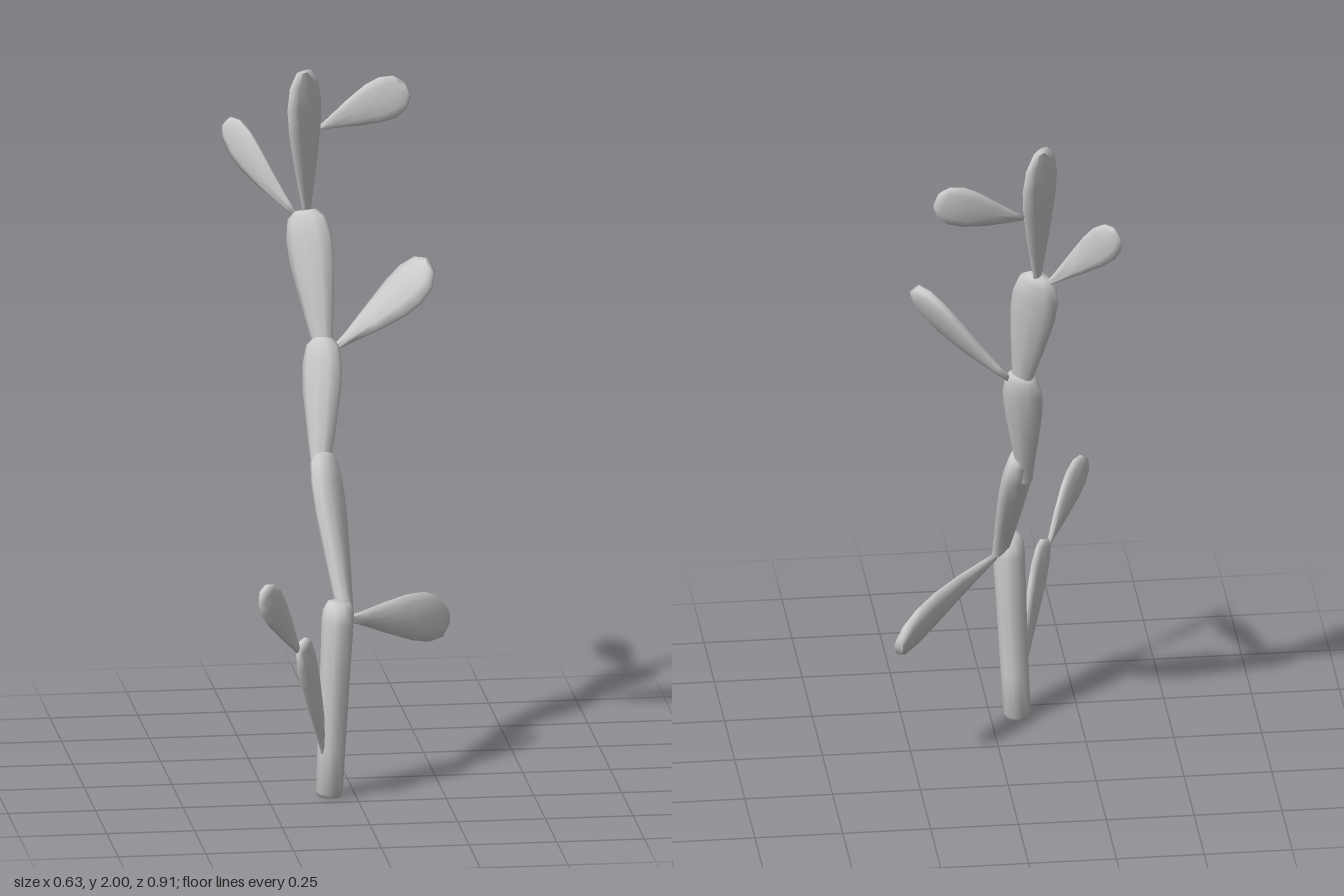
import * as THREE from 'three';
import { toCreasedNormals } from 'three/addons/utils/BufferGeometryUtils.js';

// Outlines as [relative half-width, position from base to tip]
const TRUNK = [[0, 0], [0.52, 0], [0.7, 0.025], [0.76, 0.25], [0.86, 0.6], [1, 0.9], [0.9, 0.96], [0.5, 1], [0, 1]];
const STEM = [[0, 0], [0.36, 0], [0.44, 0.12], [0.72, 0.38], [0.98, 0.66], [1, 0.82], [0.82, 0.95], [0.45, 1], [0, 1]];
const PAD = [[0, 0], [0.12, 0], [0.26, 0.12], [0.64, 0.38], [0.93, 0.62], [1, 0.78], [0.82, 0.92], [0.4, 1], [0, 1]];

const material = new THREE.MeshStandardMaterial({ color: 0xcccccc });

// A flattened paddle from base to tip, widest along `across`, bowed out of its plane by `bend`
function paddle(name, outline, base, tip, across, halfWidth, halfThick, bend = 0) {
  const geo = new THREE.LatheGeometry(outline.map(([r, t]) => new THREE.Vector2(r, t)), 10);

  // Thickness swells less than width does
  const p = geo.attributes.position;
  for (let i = 0; i < p.count; i++) {
    const t = p.getY(i);
    const r = Math.max(Math.hypot(p.getX(i), p.getZ(i)), 1e-4);
    p.setZ(i, p.getZ(i) / Math.sqrt(r) + (bend / halfThick) * 4 * t * (1 - t));
  }

  const a = new THREE.Vector3(...base);
  const axis = new THREE.Vector3(...tip).sub(a);
  const length = axis.length();
  axis.normalize();
  const side = new THREE.Vector3(...across).projectOnPlane(axis).normalize();
  const face = side.clone().cross(axis);
  geo.applyMatrix4(new THREE.Matrix4()
    .makeBasis(side.multiplyScalar(halfWidth), axis.multiplyScalar(length), face.multiplyScalar(halfThick))
    .setPosition(a));

  const mesh = new THREE.Mesh(toCreasedNormals(geo, Math.PI * 0.45), material);
  mesh.name = name;
  return mesh;
}

export function createModel() {
  const plant = new THREE.Group();
  plant.name = 'cactus';
  const parts = [
    // Main stem, bottom to top
    ['trunk', TRUNK, [-0.075, 0, 0.18], [-0.05, 0.57, 0.195], [0, 0, 1], 0.061, 0.046],
    ['lowerStem', STEM, [-0.026, 0.51, 0.185], [-0.064, 0.94, -0.04], [0.6, -0.4, -0.7], 0.066, 0.037],
    ['middleStem', STEM, [-0.074, 0.85, -0.025], [-0.05, 1.25, -0.155], [0.8, 0.17, 0.5], 0.06, 0.036],
    ['upperStem', STEM, [-0.046, 1.19, -0.143], [-0.087, 1.6, -0.25], [0.8, 0.2, 0.5], 0.071, 0.031],
    ['topPad', PAD, [-0.083, 1.56, -0.245], [-0.09, 2, -0.267], [0.6, 0, -0.75], 0.087, 0.018],
    // Pads branching off the top
    ['topLeftPad', PAD, [-0.035, 1.82, -0.32], [0.217, 1.912, -0.363], [-0.4, 0.9, -0.1], 0.066, 0.012, 0.013],
    ['topRightPad', PAD, [-0.11, 1.58, -0.262], [-0.287, 1.815, -0.44], [0.5, 0.7, 0.5], 0.056, 0.014, 0.015],
    // Side pads on the middle and lower stem
    ['middleLeftPad', PAD, [-0.015, 1.225, -0.14], [0.243, 1.48, -0.05], [-0.29, 0.52, -0.76], 0.075, 0.023, 0.01],
    ['lowerLeftPad', PAD, [-0.02, 0.515, 0.178], [0.303, 0.415, -0.175], [-0.2, 0.95, -0.2], 0.074, 0.024, -0.01],
    // Pair of pads growing from the foot of the trunk
    ['lowerRightPad', STEM, [-0.088, 0.13, 0.195], [-0.168, 0.488, 0.31], [-0.5, -0.4, 0.75], 0.053, 0.015],
    ['lowerRightTipPad', PAD, [-0.175, 0.455, 0.32], [-0.295, 0.68, 0.437], [0.6, 0.6, -0.6], 0.052, 0.014],
  ];
  for (const part of parts) plant.add(paddle(...part));
  return plant;
}
